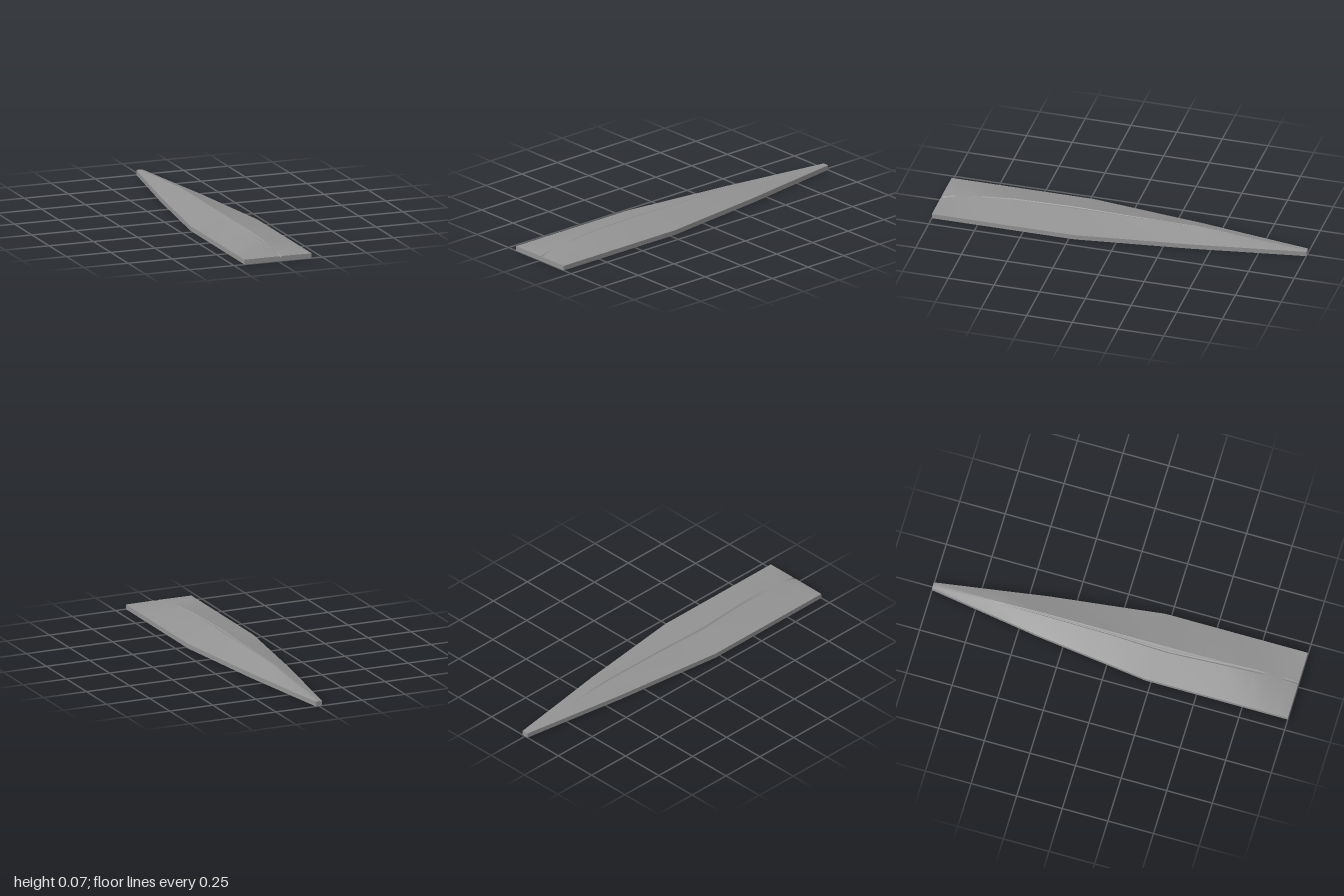
import * as THREE from 'three';
import { toCreasedNormals } from 'three/addons/utils/BufferGeometryUtils.js';

const RIM = 0.026;

// Stations from front to tip: z, half width, ridge height, groove x, groove half width, groove depth
const STATIONS = [
  [1, 0.19, 0.027, 0.014, 0.007, 0.008],
  [0.94, 0.19, 0.041, 0.01, 0.006, 0.003],
  [0.9, 0.19, 0.043, 0.009, 0.006, 0],
  [0.85, 0.19, 0.049, 0.008, 0.01, 0],
  [0.76, 0.19, 0.06, 0.003, 0.009, 0.005],
  [0.6, 0.19, 0.07, -0.007, 0.009, 0.006],
  [0.3, 0.19, 0.07, -0.022, 0.008, 0.006],
  [0.22, 0.19, 0.07, -0.02, 0.008, 0.006],
  [0, 0.162, 0.07, -0.013, 0.006, 0.005],
  [-0.4, 0.112, 0.07, -0.009, 0.005, 0.004],
  [-0.64, 0.074, 0.053, -0.007, 0.004, 0],
  [-1, 0.018, 0.028, 0, 0.004, 0],
];

// Closed cross-section, counterclockwise seen from the front: a low roof
// on a straight rim, with a rounded groove beside the crest
function section([z, w, ridge, gx, gh, depth]) {
  const roof = x => RIM + (ridge - RIM) * (1 - Math.abs(x) / w);
  const crestRight = Math.max(0, gx + gh + 0.002);
  const crestLeft = Math.min(0, gx - gh - 0.002);
  const pts = [[0, 0], [w, 0], [w, RIM], [crestRight, roof(crestRight)]];
  for (let i = 4; i >= -4; i--) {
    const t = i / 4, x = gx + gh * t;
    pts.push([x, roof(x) - depth * (1 - t * t)]);
  }
  pts.push([crestLeft, roof(crestLeft)], [-w, RIM], [-w, 0]);
  return pts.map(([x, y]) => [x, y, z]);
}

function bladeGeometry() {
  const sections = STATIONS.map(section);
  const n = sections[0].length;
  const idx = [];
  for (let k = 0; k < sections.length - 1; k++) {
    for (let i = 0; i < n; i++) {
      const a = k * n + i, b = k * n + (i + 1) % n;
      idx.push(a, a + n, b, b, a + n, b + n);
    }
  }
  // Front and tip caps
  const last = (sections.length - 1) * n;
  for (let i = 1; i < n - 1; i++) {
    idx.push(0, i, i + 1);
    idx.push(last, last + i + 1, last + i);
  }
  const geo = new THREE.BufferGeometry();
  geo.setAttribute('position', new THREE.Float32BufferAttribute(sections.flat(2), 3));
  geo.setIndex(idx);
  return toCreasedNormals(geo, 0.3);
}

export function createModel() {
  const group = new THREE.Group();
  group.name = 'taperedPlank';
  const blade = new THREE.Mesh(
    bladeGeometry(),
    new THREE.MeshStandardMaterial({ color: 0x939393 })
  );
  blade.name = 'ridgedBlade';
  group.add(blade);
  return group;
}
